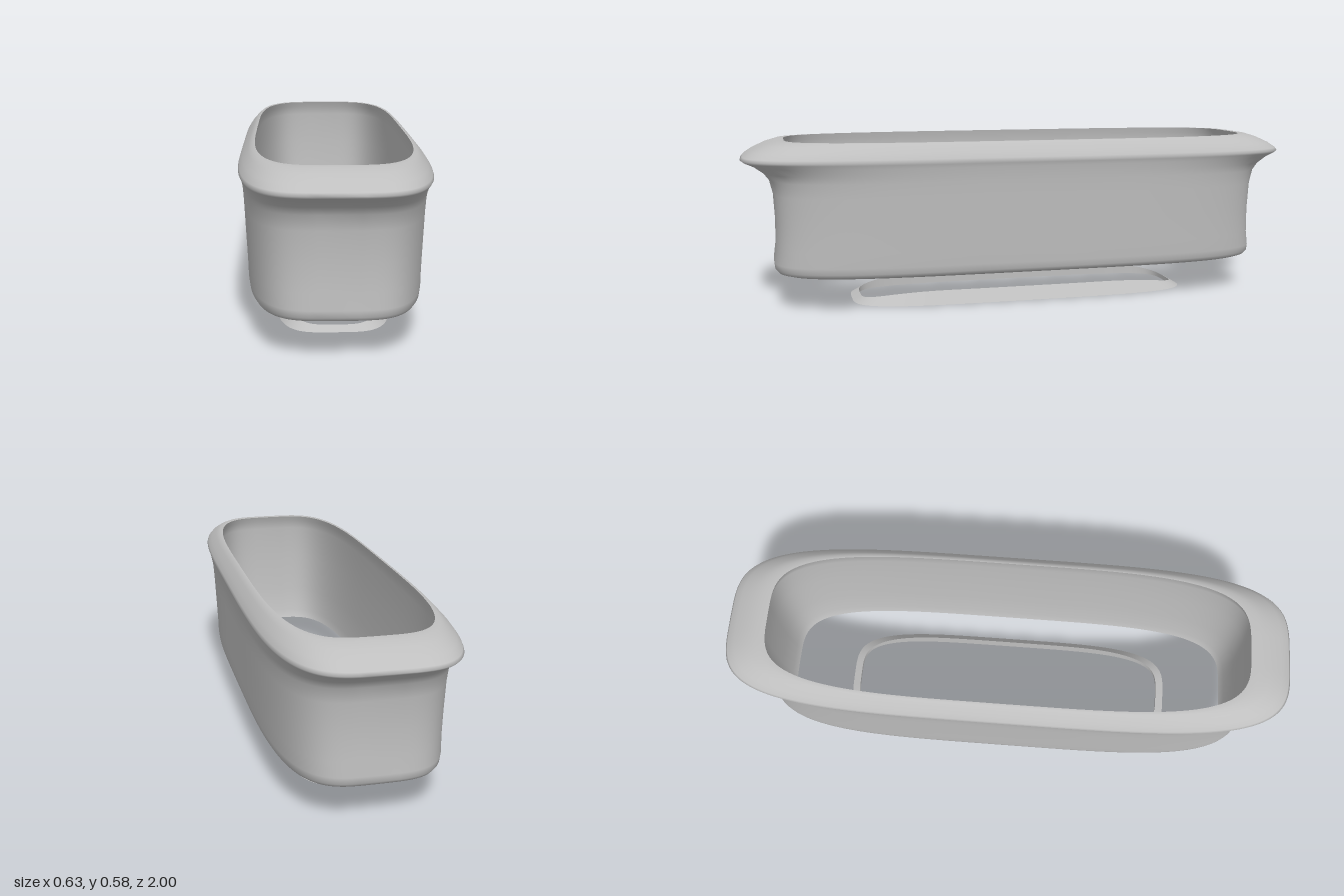
import * as THREE from 'three';

const SIDES = 128;

// Point on a rounded-rectangle outline (superellipse) with half sizes rx, rz
function outlinePoint(rx, rz, n, angle) {
  const bend = (v) => Math.sign(v) * Math.pow(Math.abs(v), 2 / n);
  return [rx * bend(Math.cos(angle)), rz * bend(Math.sin(angle))];
}

// Skins closed outlines into a smooth band. Listed downwards the band faces out,
// listed upwards it faces in. Each section is [rx, rz, y, n]; y may be a function of z.
function loftBand(sections) {
  const positions = [];
  const index = [];
  sections.forEach(([rx, rz, y, n], i) => {
    for (let j = 0; j < SIDES; j++) {
      const [x, z] = outlinePoint(rx, rz, n, (j / SIDES) * Math.PI * 2);
      positions.push(x, typeof y === 'function' ? y(z) : y, z);
      if (i === sections.length - 1) continue;
      const k = (j + 1) % SIDES;
      const a = i * SIDES + j, b = i * SIDES + k;
      index.push(a, b, a + SIDES, b, b + SIDES, a + SIDES);
    }
  });
  const geometry = new THREE.BufferGeometry();
  geometry.setAttribute('position', new THREE.Float32BufferAttribute(positions, 3));
  geometry.setIndex(index);
  geometry.computeVertexNormals();
  return geometry;
}

export function createModel() {
  const group = new THREE.Group();
  group.name = 'openTrough';
  const grey = new THREE.MeshStandardMaterial({ color: 0xbfbfbf, side: THREE.DoubleSide });
  grey.name = 'plain grey';

  const add = (name, sections) => {
    const mesh = new THREE.Mesh(loftBand(sections), grey);
    mesh.name = name;
    group.add(mesh);
  };

  // Flared rim, outer wall and rounded bottom edge
  const rimEdge = [0.264, 0.85, 0.585, 3.8];
  const bottomEdge = [0.248, 0.826, 0.12, 4];
  add('outerWall', [
    rimEdge,
    [0.273, 0.88, 0.584, 3.9],
    [0.285, 0.92, 0.572, 3.9],
    [0.302, 0.965, 0.551, 4],
    [0.314, 0.993, 0.532, 4],
    [0.317, 1.0, 0.522, 4],
    [0.314, 0.99, 0.514, 4],
    [0.311, 0.96, 0.501, 4],
    [0.308, 0.925, 0.476, 3.9],
    [0.305, 0.905, 0.45, 3.9],
    [0.302, 0.893, 0.4, 3.9],
    [0.297, 0.888, 0.3, 3.9],
    [0.292, 0.89, 0.21, 3.9],
    [0.29, 0.897, 0.16, 3.9],
    [0.287, 0.895, 0.138, 3.9],
    [0.28, 0.885, 0.126, 3.9],
    [0.27, 0.865, 0.121, 4],
    bottomEdge,
  ]);

  // Inner wall, slightly hollowed between the bottom edge and the rim
  add('innerWall', [
    bottomEdge,
    [0.256, 0.84, 0.15, 4],
    [0.266, 0.858, 0.25, 3.9],
    [0.271, 0.866, 0.4, 3.9],
    [0.272, 0.867, 0.53, 3.9],
    [0.268, 0.858, 0.565, 3.8],
    rimEdge,
  ]);

  // Separate foot ring: wedge section, tall along the sides and low at the ends
  const footTop = (z) => {
    const u = Math.min(1, Math.max(0, (Math.abs(z) - 0.25) / 0.35));
    return 0.015 + 0.031 * (1 - Math.pow(u, 2.6));
  };
  const footCrest = [0.17, 0.595, footTop, 4];
  const footOuter = [0.202, 0.625, 0, 4];
  const footInner = [0.17, 0.595, 0, 4];
  add('footSlope', [footCrest, footOuter]);
  add('footBase', [footOuter, footInner]);
  add('footInnerWall', [footInner, footCrest]);

  return group;
}
